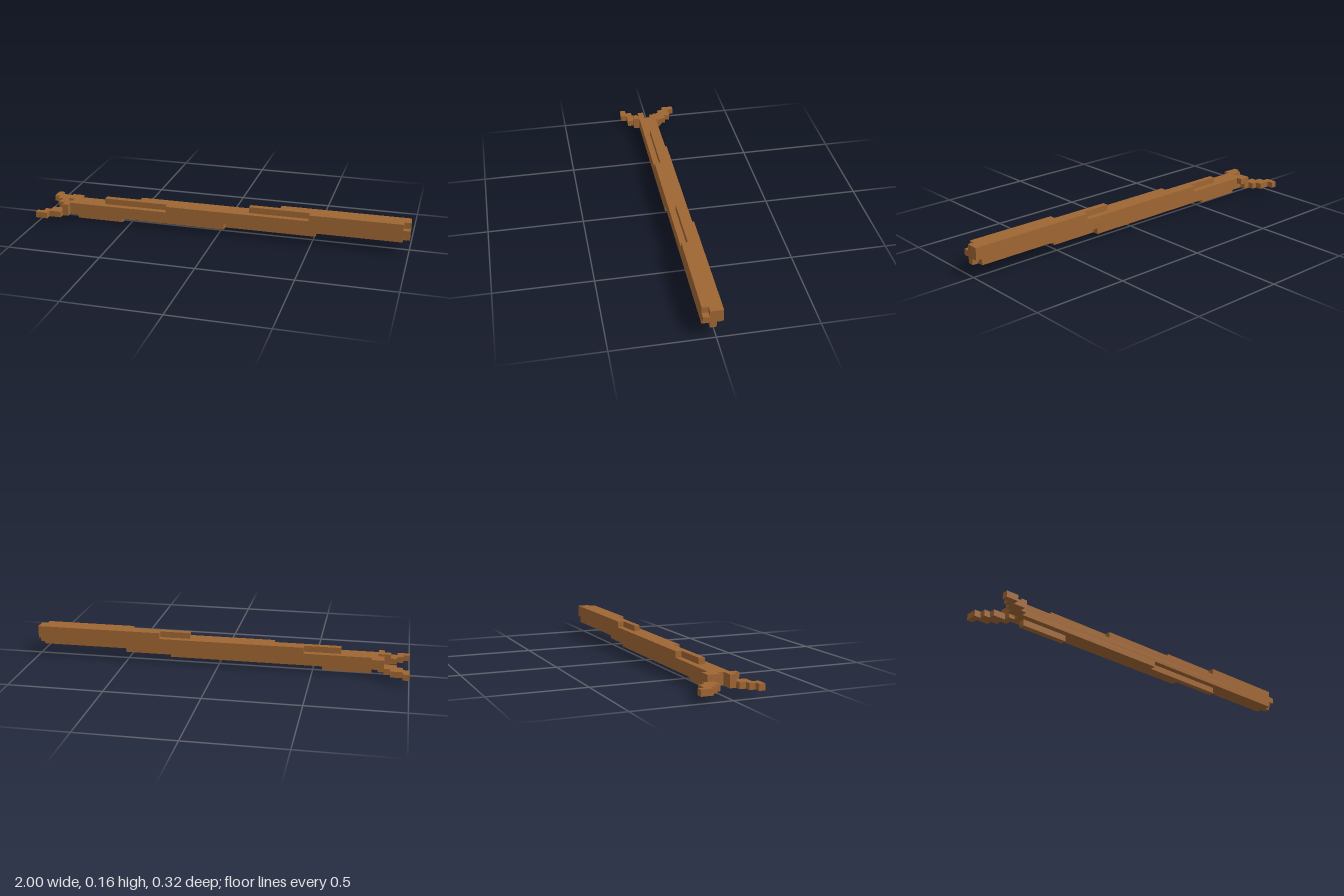
import * as THREE from 'three';

const U = 1 / 31; // one block

export function createModel() {
  const model = new THREE.Group();
  const bark = new THREE.MeshStandardMaterial({ color: 0x9f6633 });
  bark.name = 'brown bark';

  // Each bar is one block high and deep: [y, z, xStart, xEnd] in blocks
  function addPart(name, bars) {
    const part = new THREE.Group();
    part.name = name;
    for (const [y, z, x0, x1] of bars) {
      const bar = new THREE.Mesh(new THREE.BoxGeometry((x1 - x0) * U, U, U), bark);
      bar.name = name + 'Bar';
      bar.position.set(((x0 + x1) / 2) * U, (y + 0.5) * U, (z + 0.5) * U);
      part.add(bar);
    }
    model.add(part);
  }

  // Gently climbing trunk, three bars wide, with notched end corners
  addPart('trunk', [
    [0, 0, -25, -17],
    [1, -1, -27, 8], [1, 0, -26, 16], [1, 1, -28, 1],
    [2, -1, -27, 30], [2, 0, -26, 31], [2, 1, -28, 30],
    [3, -1, -14, 31], [3, 0, -20, 31], [3, 1, -9, 31],
    [4, -1, 10, 31], [4, 0, 5, 31], [4, 1, 15, 30],
  ]);

  // Stepped fork prongs spreading from the lower end
  addPart('frontProng', [
    [1, 4, -31, -29], [1, 3, -30, -27], [1, 2, -29, -26], [2, 2, -27, -26],
  ]);
  addPart('backProng', [
    [1, -5, -31, -30], [1, -4, -31, -28], [1, -3, -30, -27],
    [1, -2, -29, -26], [2, -2, -27, -25],
  ]);

  return model;
}
